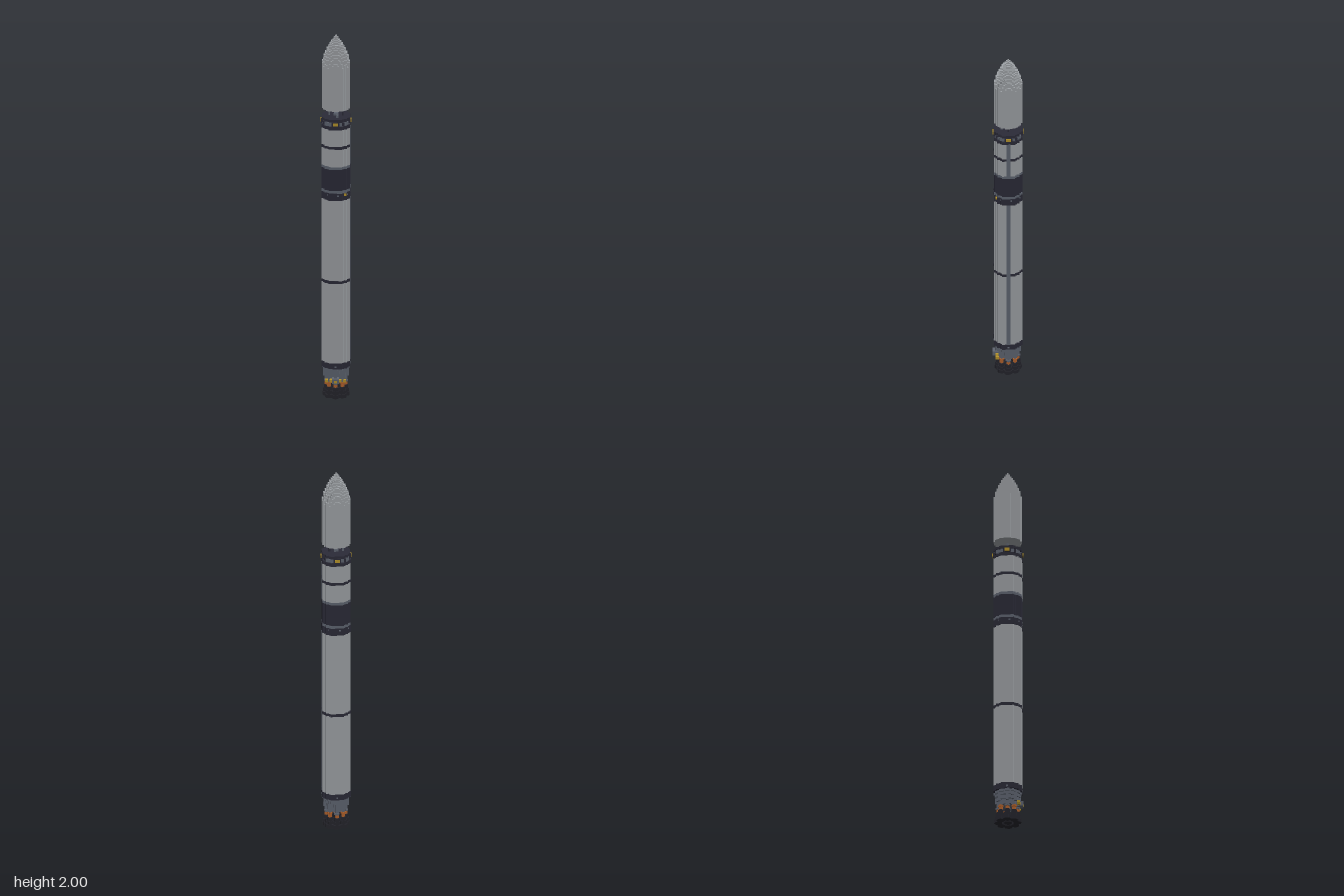
import * as THREE from 'three';

const V = 0.0077; // block size
const FULL = 9.93; // body radius in blocks

const mat = (name, color) => {
  const m = new THREE.MeshStandardMaterial({ color });
  m.name = name;
  return m;
};

// Outline of a disc made of square blocks
function steppedShape(R, v) {
  const n = Math.floor(R), pts = [];
  const half = (j) => Math.floor(Math.sqrt(R * R - j * j)) + 0.5;
  const add = (x, y) => {
    const p = new THREE.Vector2(x * v, y * v);
    const last = pts[pts.length - 1], prev = pts[pts.length - 2];
    if (last && last.distanceTo(p) < 1e-6) return;
    if (prev && Math.abs(prev.x - last.x) < 1e-6 && Math.abs(last.x - p.x) < 1e-6) pts.pop();
    pts.push(p);
  };
  for (let j = -n; j <= n; j++) { add(half(j), j - 0.5); add(half(j), j + 0.5); }
  for (let j = n; j >= -n; j--) { add(-half(j), j + 0.5); add(-half(j), j - 0.5); }
  return new THREE.Shape(pts);
}

export function createModel() {
  const root = new THREE.Group();
  root.name = 'rocket';
  const shell = mat('light grey', 0x9fa3a7);
  const navy = mat('dark navy', 0x2b2b38);
  const steel = mat('steel grey', 0x5f6571);
  const black = mat('engine black', 0x25252c);
  const gold = mat('gold', 0xb8962c);
  const copper = mat('copper', 0xb2622c);

  const put = (parent, name, geo, m, x, y, z) => {
    const mesh = new THREE.Mesh(geo, m);
    mesh.name = name;
    mesh.position.set(x, y, z);
    parent.add(mesh);
    return mesh;
  };
  const slab = (name, R, y0, y1, m, v = V, x = 0, z = 0, parent = root) => {
    const geo = new THREE.ExtrudeGeometry(steppedShape(R, v), { depth: y1 - y0, bevelEnabled: false });
    geo.rotateX(-Math.PI / 2);
    return put(parent, name, geo, m, x, y0, z);
  };
  const box = (name, w, h, d, m, x, y, z, parent = root) =>
    put(parent, name, new THREE.BoxGeometry(w, h, d), m, x, y, z);
  // Small blocks set around the hull
  const studs = (name, count, r, w, h, y, mats, turn = 0) => {
    for (let i = 0; i < count; i++) {
      const a = ((i + turn) / count) * Math.PI * 2;
      box(name, w, h, w, mats[i % mats.length], Math.sin(a) * r, y, Math.cos(a) * r);
    }
  };

  // Main stage and its bands
  slab('mainStage', FULL, 0.2, 1.105, shell);
  slab('mainStageBand', FULL, 0.642, 0.658, navy, V * 1.01);
  slab('aftRing', FULL, 0.168, 0.2, navy, V * 1.01);
  studs('aftRingStud', 16, 0.071, 0.009, 0.009, 0.18, [steel, navy]);

  // Interstage
  slab('interstageBase', FULL, 1.105, 1.145, navy, V * 1.01);
  studs('interstageStud', 16, 0.071, 0.01, 0.008, 1.132, [steel, navy], 0.5);
  box('interstageValve', 0.012, 0.01, 0.012, gold, 0.05, 1.136, 0.06);
  slab('interstageJoint', FULL, 1.145, 1.16, steel);
  slab('interstage', FULL, 1.16, 1.277, navy, V * 0.995);
  slab('interstageCollar', FULL, 1.277, 1.292, steel);

  // Upper stage
  slab('upperStage', FULL, 1.292, 1.505, shell);
  slab('upperStageBand', FULL, 1.39, 1.405, navy, V * 1.01);
  slab('equipmentRingLower', FULL, 1.498, 1.516, navy, V * 1.01);
  slab('equipmentRingMiddle', 9.3, 1.516, 1.54, steel);
  slab('equipmentRingUpper', FULL, 1.54, 1.555, navy);
  studs('ringEquipment', 16, 0.07, 0.013, 0.018, 1.528, [navy, navy, steel, navy], 0.5);

  // Thruster pods at the four sides
  for (let i = 0; i < 4; i++) {
    const pod = new THREE.Group();
    pod.name = 'thrusterPod';
    box('podBody', 0.038, 0.026, 0.016, navy, 0, 0, 0.068, pod);
    box('podNozzle', 0.026, 0.016, 0.012, gold, 0, 0, 0.0745, pod);
    pod.position.y = 1.53;
    pod.rotation.y = (i * Math.PI) / 2;
    root.add(pod);
  }

  // Raceway along the left side
  for (const [y0, y1] of [[0.2, 1.105], [1.292, 1.5]])
    box('raceway', 0.01, y1 - y0, 0.02, steel, 0.0705, (y0 + y1) / 2, 0);

  // Payload fittings below the nose
  box('tallPost', 0.008, 0.045, 0.008, navy, 0.034, 1.5775, 0);
  box('shortPost', 0.008, 0.028, 0.008, steel, -0.036, 1.569, 0);
  box('payloadMount', 0.023, 0.012, 0.023, steel, 0, 1.561, 0);
  box('payloadBox', 0.012, 0.014, 0.012, steel, 0.008, 1.562, 0.034);

  // Nose fairing: straight wall, then a stepped ogive
  slab('fairingWall', 9.45, 1.6, 1.83, shell);
  const layers = 22, h = 0.17 / layers;
  for (let i = 0; i < layers; i++) {
    const r = 9.45 * (1 - Math.pow((i + 0.4) / layers, 1.8));
    slab('fairingLayer', Math.max(r, 0.4), 1.83 + i * h, 1.83 + (i + 1) * h, shell);
  }

  // Thrust structure
  [[9.2, 0.155, 0.168], [8.4, 0.138, 0.155], [7.5, 0.118, 0.138], [6.4, 0.09, 0.118]].forEach(([r, a, b]) =>
    slab('thrustStructure', r, a, b, steel));
  studs('thrustStrut', 8, 0.06, 0.014, 0.055, 0.135, [steel]);

  // Front pump manifold
  box('pumpManifold', 0.036, 0.026, 0.04, steel, 0, 0.102, 0.061);
  for (let i = -2; i <= 2; i++)
    box('manifoldValve', 0.014, 0.014, 0.016, gold, i * 0.0235, 0.099, i ? 0.058 : 0.074);

  // Nine engines: one central, eight around it
  for (let i = 0; i < 9; i++) {
    const a = (i / 8) * Math.PI * 2, r = i < 8 ? 0.049 : 0;
    const engine = new THREE.Group();
    engine.name = 'engine';
    const part = (name, R, y0, y1, m) => slab(name, R, y0, y1, m, 0.004, 0, 0, engine);
    part('bellRim', 5.1, 0, 0.02, black);
    part('bellMiddle', 4.2, 0.02, 0.038, black);
    part('bellThroat', 3.2, 0.038, 0.058, black);
    part('chamber', 2.1, 0.058, 0.076, copper);
    part('injector', 3, 0.076, 0.086, i % 2 ? copper : steel);
    part('mount', 2.2, 0.086, 0.12, steel);
    engine.position.set(Math.sin(a) * r, 0, Math.cos(a) * r);
    root.add(engine);
  }
  return root;
}
